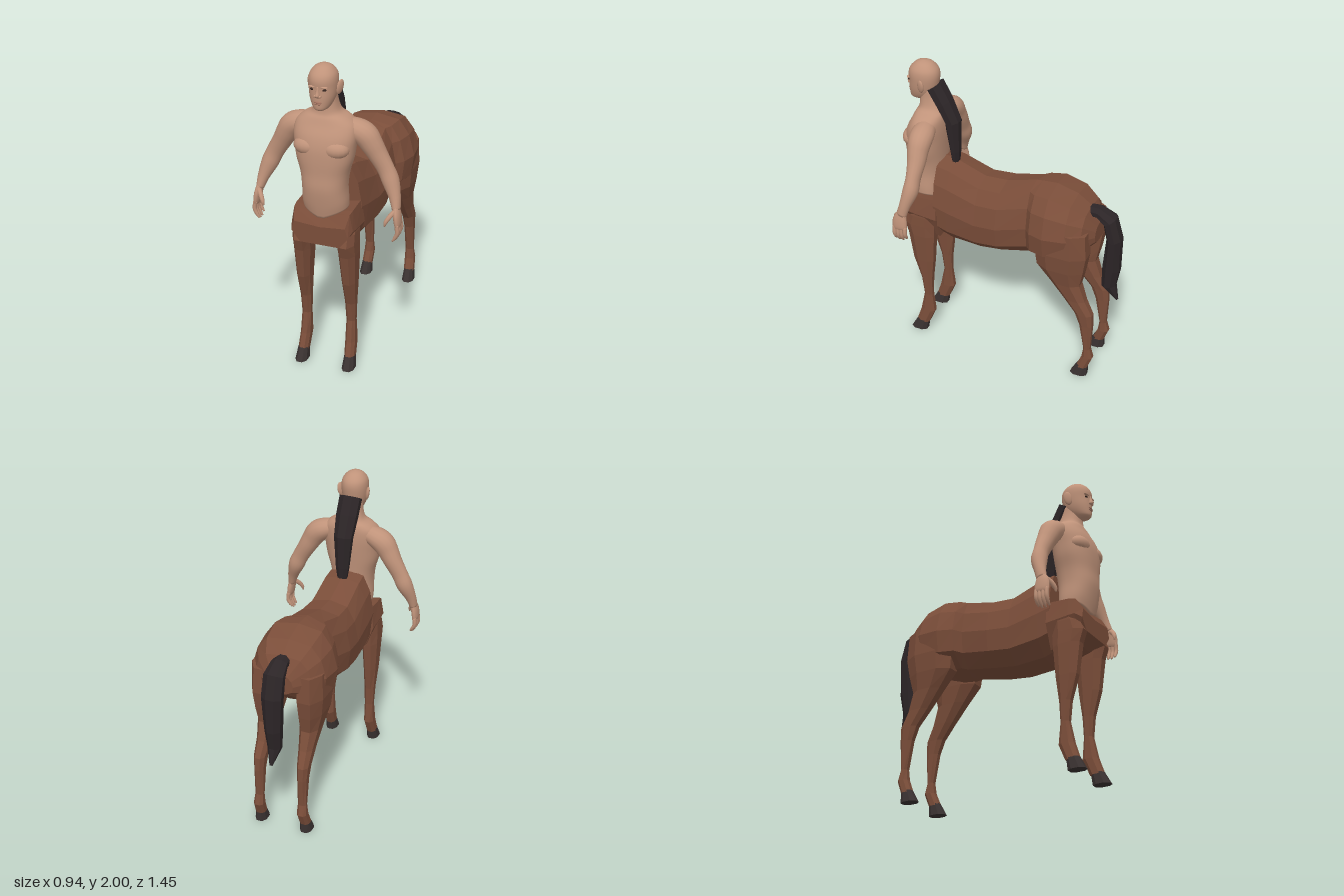
import * as THREE from 'three';

const paint = (name, color) => {
  const m = new THREE.MeshStandardMaterial({ color });
  m.name = name;
  return m;
};

// Skin a list of equal-length point rings, closing both ends; faces always point outwards
function loft(rings, smooth) {
  const n = rings[0].length, pos = [], idx = [];
  rings.forEach(r => r.forEach(p => pos.push(...p)));
  for (let i = 0; i < rings.length - 1; i++) for (let j = 0; j < n; j++) {
    const a = i * n + j, b = i * n + (j + 1) % n;
    idx.push(a, b, a + n, b, b + n, a + n);
  }
  [0, rings.length - 1].forEach(k => {
    const c = pos.length / 3;
    pos.push(...[0, 1, 2].map(d => rings[k].reduce((s, p) => s + p[d], 0) / n));
    for (let j = 0; j < n; j++) {
      const a = k * n + j, b = k * n + (j + 1) % n;
      idx.push(...(k ? [a, b, c] : [b, a, c]));
    }
  });
  const v = i => new THREE.Vector3().fromArray(pos, i * 3);
  let volume = 0;
  for (let i = 0; i < idx.length; i += 3) volume += v(idx[i]).dot(v(idx[i + 1]).cross(v(idx[i + 2])));
  if (volume < 0) idx.reverse();
  let g = new THREE.BufferGeometry();
  g.setAttribute('position', new THREE.Float32BufferAttribute(pos, 3));
  g.setIndex(idx);
  if (!smooth) g = g.toNonIndexed();
  g.computeVertexNormals();
  return g;
}

// Catmull-Rom interpolation of equal-length rows of numbers
function refine(rows, k) {
  const out = [], at = i => rows[Math.min(Math.max(i, 0), rows.length - 1)];
  for (let i = 0; i < rows.length - 1; i++) for (let s = 0; s < k; s++) {
    const t = s / k, [a, b, c, d] = [at(i - 1), at(i), at(i + 1), at(i + 2)];
    out.push(b.map((q, j) => q + 0.5 * t * (c[j] - a[j] + t * (2 * a[j] - 5 * q + 4 * c[j] - d[j]
      + t * (3 * (q - c[j]) + d[j] - a[j])))));
  }
  out.push(rows[rows.length - 1]);
  return out;
}

const bend = (v, p) => Math.sign(v) * Math.abs(v) ** p;

// Horizontal rings; row = [y, centre x, half width, front z, back z, dip at the middle (optional)]
function stack(rows, sides, power, smooth, side = 1) {
  const full = rows.map(([y, x, w, zf, zb, dip = 0]) => [y, x, w, zf, zb, dip]);
  return loft((smooth ? refine(full, 4) : full).map(([y, x, w, zf, zb, dip]) =>
    Array.from({ length: sides }, (_, j) => {
      const a = (j + 0.5) / sides * Math.PI * 2, c = bend(Math.cos(a), power);
      return [side * (x + w * c), y - dip * (1 - Math.abs(c)),
        (zf + zb) / 2 + (zf - zb) / 2 * bend(Math.sin(a), power)];
    })), smooth);
}

// Rings across a path; row = [x, y, z, radius along ref, radius across it]
function sweep(rows, ref, sides, smooth, side = 1) {
  const r = smooth ? refine(rows, 4) : rows;
  const p = r.map(q => new THREE.Vector3(side * q[0], q[1], q[2]));
  return loft(r.map((q, i) => {
    const t = p[Math.min(i + 1, p.length - 1)].clone().sub(p[Math.max(i - 1, 0)]).normalize();
    const u = ref.clone().addScaledVector(t, -t.dot(ref)).normalize(), v = t.clone().cross(u);
    return Array.from({ length: sides }, (_, j) => {
      const a = (j + 0.5) / sides * Math.PI * 2;
      return p[i].clone().addScaledVector(u, q[3] * Math.cos(a)).addScaledVector(v, q[4] * Math.sin(a)).toArray();
    });
  }), smooth);
}

export function createModel() {
  const model = new THREE.Group();
  const skin = paint('skin', 0xc0937a), coat = paint('brown coat', 0x7b4e3a), hair = paint('dark hair', 0x2c2527);
  const hoofMat = paint('hoof', 0x3a3231), eyeMat = paint('eye', 0x33241f), lipMat = paint('lip', 0xa57562);
  const X = new THREE.Vector3(1, 0, 0), Z = new THREE.Vector3(0, 0, 1);
  const add = (name, geometry, material) => {
    const m = new THREE.Mesh(geometry, material);
    m.name = name;
    model.add(m);
    return m;
  };
  const blob = (name, mat, at, size) => {
    const m = add(name, new THREE.SphereGeometry(1, 18, 12), mat);
    m.position.set(...at);
    m.scale.set(...size);
    return m;
  };

  // Horse barrel and haunches: half outline [width, height] and rows [z, half width, bottom, top]
  const half = [[0, 1], [0.6, 0.95], [0.86, 0.76], [1, 0.48], [0.92, 0.2], [0.5, 0.03], [0, 0]];
  const outline = [...half, ...half.slice(1, -1).reverse().map(([x, y]) => [-x, y])];
  const ribs = (rows, shape) => loft(rows.map(([z, w, lo, hi]) =>
    shape.map(([x, y]) => [x * w, lo + y * (hi - lo), z])), false);
  add('horseBody', ribs([
    [0.49, 0.19, 0.80, 1.35], [0.40, 0.195, 0.77, 1.335], [0.20, 0.20, 0.76, 1.26], [0.05, 0.207, 0.78, 1.268],
    [-0.15, 0.18, 0.82, 1.325], [-0.19, 0.228, 0.83, 1.33], [-0.29, 0.26, 0.83, 1.338],
    [-0.43, 0.245, 0.88, 1.30], [-0.52, 0.19, 0.95, 1.235], [-0.578, 0.09, 1.0, 1.13]], outline), coat);

  // Horse chest below the human torso
  const breast = [[-0.14, 0], [0.14, 0], [0.2, 0.5], [0.18, 0.95], [0, 0.85], [-0.18, 0.95], [-0.2, 0.5]];
  add('horseChest', ribs([[0.47, 1, 0.80, 1.12], [0.62, 1, 0.84, 1.11], [0.665, 0.98, 0.86, 1.10],
    [0.71, 0.9, 0.88, 1.02]], breast), coat);

  for (const s of [1, -1]) {
    const side = s > 0 ? 'left' : 'right';
    // Legs and hooves
    add(side + 'FrontLeg', stack([
      [1.0, 0.14, 0.055, 0.65, 0.50], [0.95, 0.143, 0.058, 0.69, 0.495], [0.88, 0.143, 0.06, 0.717, 0.49],
      [0.80, 0.145, 0.058, 0.69, 0.495], [0.60, 0.148, 0.046, 0.66, 0.51], [0.44, 0.148, 0.036, 0.61, 0.53],
      [0.31, 0.148, 0.031, 0.595, 0.535], [0.17, 0.15, 0.035, 0.625, 0.52], [0.065, 0.155, 0.034, 0.66, 0.565]],
      8, 0.85, false, s), coat);
    add(side + 'HindLeg', stack([
      [1.12, 0.14, 0.10, -0.22, -0.56], [0.95, 0.148, 0.098, -0.205, -0.57], [0.83, 0.146, 0.086, -0.22, -0.55],
      [0.72, 0.143, 0.066, -0.31, -0.523], [0.60, 0.143, 0.05, -0.405, -0.56], [0.50, 0.148, 0.04, -0.485, -0.61],
      [0.41, 0.148, 0.034, -0.52, -0.612], [0.22, 0.148, 0.029, -0.555, -0.602], [0.15, 0.15, 0.035, -0.545, -0.622],
      [0.065, 0.155, 0.035, -0.51, -0.59]], 8, 0.85, false, s), coat);
    add(side + 'FrontHoof', stack([[0.08, 0.155, 0.033, 0.655, 0.57], [0, 0.157, 0.041, 0.70, 0.58]], 8, 0.85, false, s), hoofMat);
    add(side + 'HindHoof', stack([[0.08, 0.155, 0.033, -0.515, -0.59], [0, 0.157, 0.041, -0.47, -0.59]], 8, 0.85, false, s), hoofMat);

    // Arm from the shoulder to the wrist
    add(side + 'Arm', sweep([
      [0.11, 1.61, 0.545, 0.06, 0.055], [0.18, 1.59, 0.54, 0.075, 0.068], [0.23, 1.56, 0.537, 0.074, 0.074],
      [0.265, 1.51, 0.535, 0.066, 0.068], [0.30, 1.45, 0.53, 0.058, 0.06], [0.35, 1.365, 0.53, 0.046, 0.054],
      [0.385, 1.29, 0.535, 0.05, 0.053], [0.42, 1.20, 0.56, 0.037, 0.036], [0.437, 1.13, 0.58, 0.034, 0.024]],
      Z, 16, true, s), skin);
    // Hand with curled fingers and thumb
    add(side + 'Palm', sweep([
      [0.434, 1.15, 0.577, 0.03, 0.022], [0.445, 1.10, 0.587, 0.047, 0.022], [0.452, 1.05, 0.588, 0.05, 0.019],
      [0.453, 1.03, 0.587, 0.044, 0.012]], Z, 12, true, s), skin);
    [1.0, 1.06, 1.05, 0.9].forEach((l, i) => {
      const z = 0.623 - i * 0.024;
      add(side + 'Finger', sweep([
        [0.453, 1.05, z, 0.013, 0.013], [0.458, 1.05 - 0.05 * l, z, 0.013, 0.013],
        [0.444, 1.05 - 0.085 * l, z, 0.011, 0.011], [0.428, 1.05 - 0.108 * l, z + 0.002, 0.005, 0.005]], Z, 8, true, s), skin);
    });
    add(side + 'Thumb', sweep([
      [0.435, 1.13, 0.60, 0.018, 0.016], [0.41, 1.10, 0.63, 0.016, 0.015], [0.393, 1.07, 0.645, 0.013, 0.012],
      [0.388, 1.045, 0.648, 0.005, 0.005]], Z, 8, true, s), skin);

    // Chest muscle and face details
    blob(side + 'Pectoral', skin, [s * 0.085, 1.50, 0.655], [0.088, 0.06, 0.066]);
    blob(side + 'Ear', skin, [s * 0.092, 1.862, 0.59], [0.013, 0.046, 0.027]).rotation.set(-0.2, s * -0.4, s * -0.2);
    blob(side + 'Eye', eyeMat, [s * 0.036, 1.87, 0.693], [0.014, 0.007, 0.008]);
    blob(side + 'Brow', skin, [s * 0.034, 1.886, 0.694], [0.026, 0.007, 0.012]);
    blob(side + 'Nostril', skin, [s * 0.013, 1.832, 0.706], [0.01, 0.009, 0.011]);
  }

  // Human torso and neck
  add('torso', stack([
    [1.10, 0, 0.138, 0.685, 0.49, 0.06], [1.15, 0, 0.14, 0.705, 0.487, 0.02], [1.24, 0, 0.137, 0.722, 0.485],
    [1.33, 0, 0.148, 0.72, 0.478], [1.42, 0, 0.174, 0.722, 0.47], [1.50, 0, 0.186, 0.718, 0.462],
    [1.57, 0, 0.195, 0.70, 0.457], [1.63, 0, 0.185, 0.67, 0.457], [1.67, 0, 0.142, 0.652, 0.462],
    [1.70, 0, 0.088, 0.637, 0.475], [1.76, 0, 0.068, 0.632, 0.497], [1.82, 0, 0.064, 0.63, 0.51]], 32, 0.85, true), skin);

  // Head, nose and lips
  add('head', stack([
    [1.738, 0, 0.028, 0.69, 0.61], [1.75, 0, 0.046, 0.702, 0.58], [1.78, 0, 0.064, 0.705, 0.545],
    [1.82, 0, 0.077, 0.706, 0.524], [1.87, 0, 0.084, 0.704, 0.512], [1.915, 0, 0.085, 0.706, 0.508],
    [1.95, 0, 0.077, 0.694, 0.518], [1.98, 0, 0.054, 0.665, 0.545], [1.994, 0, 0.03, 0.64, 0.572],
    [2.0, 0, 0.004, 0.61, 0.602]], 28, 0.95, true), skin);
  add('nose', stack([
    [1.89, 0, 0.008, 0.706, 0.68], [1.86, 0, 0.011, 0.716, 0.68], [1.837, 0, 0.015, 0.727, 0.68],
    [1.824, 0, 0.012, 0.712, 0.68]], 12, 1, true), skin);
  blob('upperLip', lipMat, [0, 1.796, 0.703], [0.025, 0.006, 0.009]);
  blob('lowerLip', lipMat, [0, 1.785, 0.702], [0.021, 0.006, 0.009]);

  // Ponytail and tail
  add('ponytail', sweep([
    [0, 1.842, 0.535, 0.075, 0.06], [0, 1.735, 0.475, 0.074, 0.056], [0, 1.61, 0.42, 0.064, 0.052],
    [0, 1.40, 0.408, 0.046, 0.033], [0, 1.30, 0.407, 0.03, 0.022]], X, 8, false), hair);
  add('tail', sweep([
    [0, 1.20, -0.50, 0.05, 0.04], [0, 1.205, -0.57, 0.056, 0.037], [0, 1.16, -0.645, 0.07, 0.048],
    [0, 1.03, -0.678, 0.072, 0.05], [0, 0.80, -0.667, 0.057, 0.06], [0, 0.66, -0.655, 0.045, 0.05],
    [0, 0.56, -0.715, 0.01, 0.008]], X, 8, false), hair);

  return model;
}
